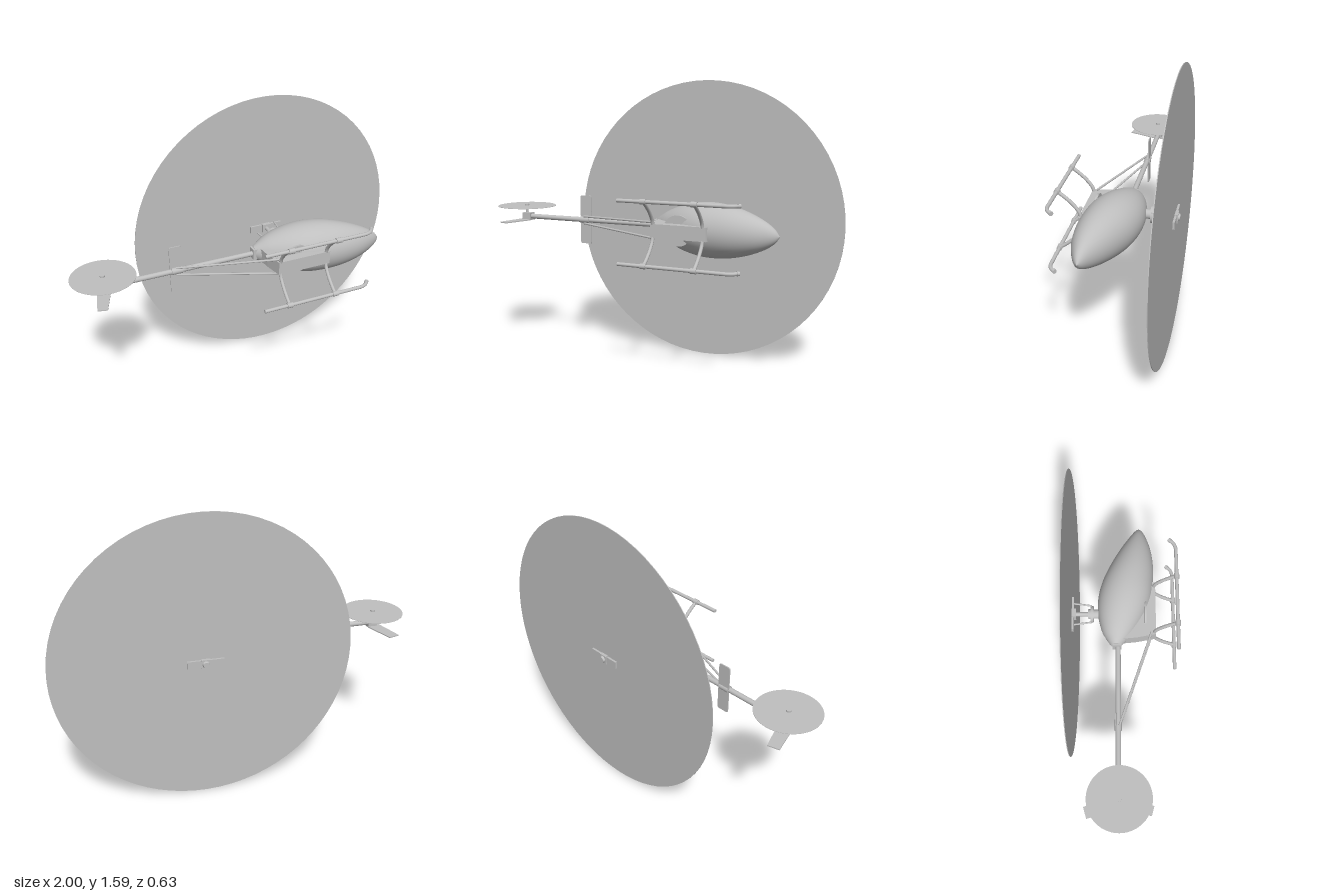
import * as THREE from 'three';
import { mergeVertices } from 'three/addons/utils/BufferGeometryUtils.js';

const CY = 0.797; // height of the symmetry plane
const V = (x, y, z) => new THREE.Vector3(x, y, z);

export function createModel() {
  const model = new THREE.Group();
  const grey = new THREE.MeshStandardMaterial({ color: 0xbfbfbf });
  grey.name = 'light grey';

  const add = (name, geometry, x = 0, y = 0, z = 0) => {
    const mesh = new THREE.Mesh(geometry, grey);
    mesh.name = name;
    mesh.position.set(x, y, z);
    model.add(mesh);
    return mesh;
  };
  const box = (name, w, h, d, x, y, z) => add(name, new THREE.BoxGeometry(w, h, d), x, y, z);
  // Round bar between two points
  const rod = (name, a, b, r, r2 = r, sides = 20) => {
    const dir = b.clone().sub(a);
    const mesh = add(name, new THREE.CylinderGeometry(r2, r, dir.length(), sides));
    mesh.position.copy(a).lerp(b, 0.5);
    mesh.quaternion.setFromUnitVectors(V(0, 1, 0), dir.normalize());
    return mesh;
  };
  const tube = (name, points, r) =>
    add(name, new THREE.TubeGeometry(new THREE.CatmullRomCurve3(points), 24, r, 12));
  // Plate outlined in x,z and given thickness along y
  const plate = (name, outline, thickness, y) => {
    const shape = new THREE.Shape(outline.map(([x, z]) => new THREE.Vector2(x, z)));
    const g = new THREE.ExtrudeGeometry(shape, { depth: thickness, bevelEnabled: false });
    g.rotateX(Math.PI / 2);
    return add(name, g, 0, y + thickness / 2, 0);
  };

  // Canopy stations: x, upper z, lower z, half width
  const stations = [
    [0.018, -0.066, -0.006, 0.036], [0.05, -0.087, 0.025, 0.058], [0.1, -0.114, 0.065, 0.088],
    [0.2, -0.137, 0.125, 0.126], [0.3, -0.136, 0.161, 0.145], [0.4, -0.112, 0.174, 0.146],
    [0.5, -0.068, 0.176, 0.131], [0.6, -0.012, 0.163, 0.101], [0.68, 0.042, 0.137, 0.063],
    [0.72, 0.072, 0.117, 0.032], [0.741, 0.094, 0.098, 0.002],
  ];
  const spine = new THREE.CatmullRomCurve3(stations.map(([x, t, b]) => V(x, t, b)));
  const width = new THREE.CatmullRomCurve3(stations.map(([x, , , h]) => V(x, h, 0)));
  const NU = 48, NV = 48;
  const canopy = new THREE.PlaneGeometry(1, 1, NU, NV);
  const pos = canopy.attributes.position;
  for (let i = 0; i < pos.count; i++) {
    const t = pos.getX(i) + 0.5;
    const a = -(pos.getY(i) + 0.5) * Math.PI * 2;
    const s = spine.getPoint(t), h = width.getPoint(t).y;
    pos.setXYZ(i, s.x, CY + h * Math.cos(a), (s.y + s.z) / 2 + (s.z - s.y) / 2 * Math.sin(a));
  }
  canopy.deleteAttribute('uv');
  canopy.deleteAttribute('normal');
  const smoothCanopy = mergeVertices(canopy, 1e-5);
  smoothCanopy.computeVertexNormals();
  add('canopy', smoothCanopy);
  const rear = add('canopyRear', new THREE.CircleGeometry(1, 32), 0.0185, CY, -0.036);
  rear.rotation.y = -Math.PI / 2;
  rear.scale.set(0.03, 0.036, 1);

  // Chassis below the canopy and the main gear
  plate('chassis', [[0.04, -0.02], [0.05, 0.08], [0.07, 0.185], [0.38, 0.185], [0.4, 0.12], [0.3, -0.02]], 0.075, CY);
  rod('mainGear', V(0.205, CY, 0.12), V(0.205, CY, 0.132), 0.083, 0.083, 40);

  // Tail boom, its clamp and support struts
  rod('tailBoom', V(-0.85, CY, -0.025), V(0.1, CY, -0.025), 0.0145);
  rod('boomClamp', V(-0.465, CY, -0.025), V(-0.405, CY, -0.025), 0.019);
  box('boomMount', 0.05, 0.06, 0.05, 0.03, CY, -0.03);
  for (const s of [-1, 1]) {
    rod('boomStrut', V(-0.44, CY + s * 0.02, -0.018), V(0.08, CY + s * 0.043, 0.16), 0.006, 0.006, 10);
  }

  // Stabilizer with rounded corners
  const x0 = -0.47, x1 = -0.4, y0 = CY - 0.14, y1 = CY + 0.14, c = 0.012;
  const stab = new THREE.Shape();
  stab.moveTo(x0 + c, y0);
  stab.lineTo(x1 - c, y0);
  stab.quadraticCurveTo(x1, y0, x1, y0 + c);
  stab.lineTo(x1, y1 - c);
  stab.quadraticCurveTo(x1, y1, x1 - c, y1);
  stab.lineTo(x0 + c, y1);
  stab.quadraticCurveTo(x0, y1, x0, y1 - c);
  stab.lineTo(x0, y0 + c);
  stab.quadraticCurveTo(x0, y0, x0 + c, y0);
  add('stabilizer', new THREE.ExtrudeGeometry(stab, { depth: 0.006, bevelEnabled: false }), 0, 0, -0.038);

  // Swept tail fin, gearbox and tail rotor
  plate('tailFin', [[-0.80, -0.05], [-0.86, -0.207], [-0.92, -0.19], [-0.87, -0.02],
    [-0.907, 0.147], [-0.857, 0.16], [-0.80, 0.0]], 0.006, 0.777);
  box('tailGearbox', 0.055, 0.042, 0.045, -0.828, CY, -0.025);
  rod('tailShaft', V(-0.832, CY, -0.02), V(-0.832, 0.87, -0.02), 0.007);
  rod('tailHub', V(-0.832, 0.852, -0.02), V(-0.832, 0.871, -0.02), 0.013);
  rod('tailRotorDisc', V(-0.83, 0.8595, -0.02), V(-0.83, 0.8615, -0.02), 0.17, 0.17, 64);

  // Mast, swashplate and rotor head
  const mx = 0.205;
  rod('mast', V(mx, CY, -0.1), V(mx, CY, -0.3), 0.012);
  rod('mastBase', V(mx, CY, -0.12), V(mx, CY, -0.165), 0.026);
  rod('swashplate', V(mx, CY, -0.162), V(mx, CY, -0.178), 0.046, 0.046, 32);
  rod('swashplateRing', V(mx, CY, -0.178), V(mx, CY, -0.192), 0.028);
  for (const s of [-1, 1]) {
    rod('pitchLink', V(mx + s * 0.038, CY + s * 0.028, -0.17), V(mx + s * 0.052, CY + s * 0.028, -0.275), 0.005, 0.005, 10);
    box('bladeGrip', 0.075, 0.042, 0.027, mx + s * 0.06, CY, -0.286);
  }
  box('headBlock', 0.05, 0.05, 0.045, mx, CY, -0.283);
  rod('headCap', V(mx, CY, -0.3), V(mx, CY, -0.316), 0.022, 0.016);
  rod('mainRotorDisc', V(mx, CY, -0.284), V(mx, CY, -0.288), 0.793, 0.793, 72);

  // Landing gear
  for (const s of [-1, 1]) {
    const y = CY + s * 0.167;
    rod('skid', V(-0.065, y, 0.297), V(0.5, y, 0.297), 0.01);
    tube('skidTip', [V(0.49, y, 0.297), V(0.53, y, 0.296), V(0.56, y, 0.284), V(0.582, y, 0.26)], 0.01);
    rod('skidCap', V(0.575, y, 0.268), V(0.584, y, 0.258), 0.0115);
    for (const x of [0.083, 0.36]) {
      tube('skidLeg', [V(x, CY + s * 0.03, 0.175), V(x, CY + s * 0.06, 0.185), V(x, CY + s * 0.105, 0.22),
        V(x, CY + s * 0.142, 0.262), V(x, y, 0.297)], 0.0095);
      rod('skidClamp', V(x - 0.016, y, 0.297), V(x + 0.016, y, 0.297), 0.0145);
    }
  }
  return model;
}
